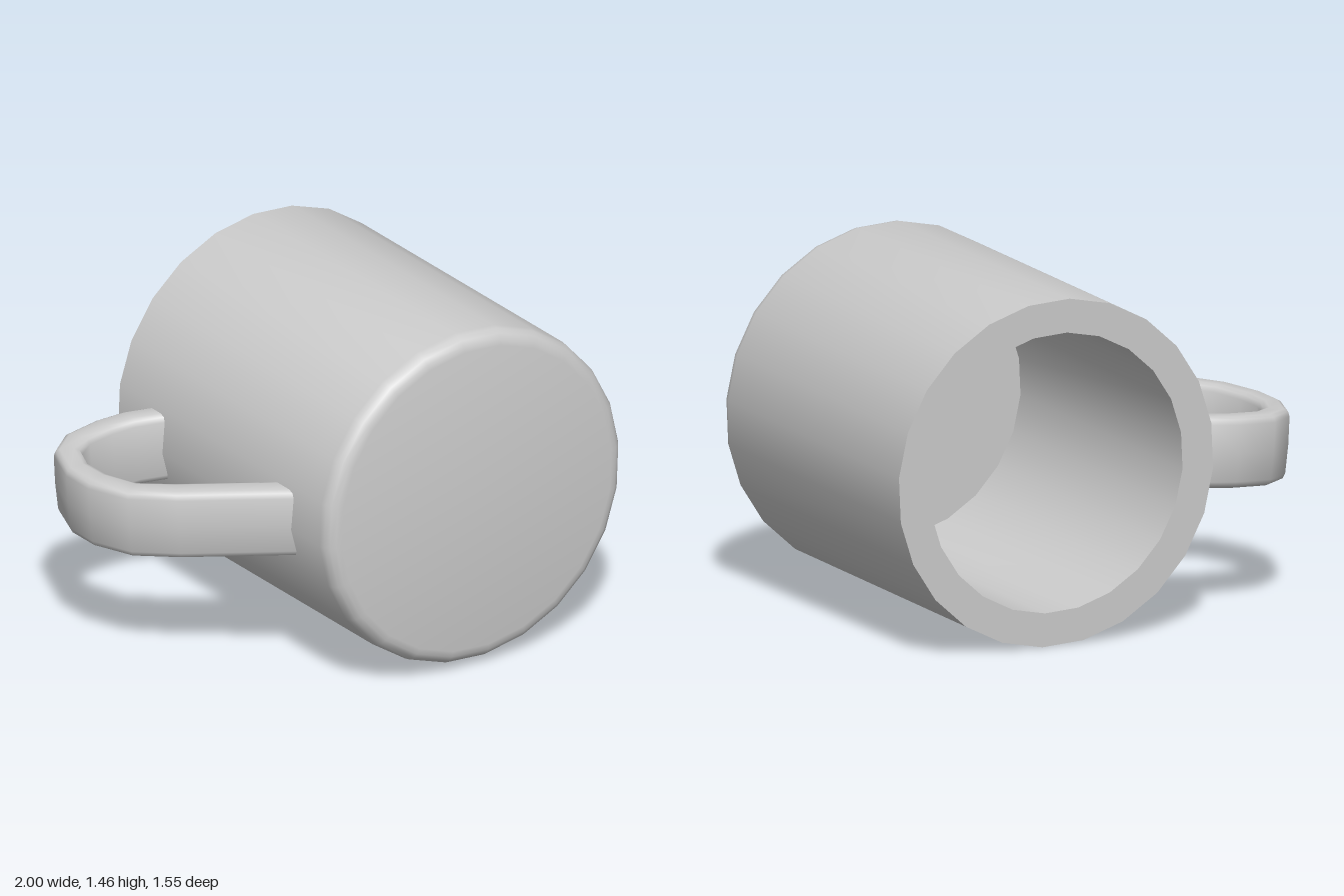
import * as THREE from 'three';
import { toCreasedNormals } from 'three/addons/utils/BufferGeometryUtils.js';

const material = new THREE.MeshStandardMaterial({ color: 0xcccccc });

// Body: one turned profile, rounded foot, flat rim and hollow inside
function createBody() {
  const radius = 0.72, inner = 0.58, base = -0.765, rim = 0.765, bevel = 0.065, floor = base + 0.14;
  const profile = [new THREE.Vector2(0, base)];
  for (let i = 0; i <= 4; i++) {
    const a = (i / 4) * Math.PI / 2;
    profile.push(new THREE.Vector2(radius - bevel + bevel * Math.sin(a), base + bevel - bevel * Math.cos(a)));
  }
  profile.push(
    new THREE.Vector2(radius, rim),
    new THREE.Vector2(inner, rim),
    new THREE.Vector2(inner, floor),
    new THREE.Vector2(0, floor),
  );
  const mesh = new THREE.Mesh(toCreasedNormals(new THREE.LatheGeometry(profile, 24), 0.7), material);
  mesh.name = 'body';
  return mesh;
}

// Handle: a wide strap with rounded edges, lofted between an outer and an inner outline
function createHandle() {
  // outer x, outer y, inner x, inner y
  const stations = [
    [-0.62, 0.53, -0.62, 0.40],
    [-0.71, 0.57, -0.71, 0.44],
    [-0.80, 0.605, -0.81, 0.48],
    [-0.92, 0.615, -0.92, 0.49],
    [-1.09, 0.59, -1.04, 0.475],
    [-1.21, 0.49, -1.115, 0.42],
    [-1.275, 0.30, -1.16, 0.30],
    [-1.275, 0.14, -1.155, 0.17],
    [-1.21, -0.05, -1.11, 0.02],
    [-1.07, -0.20, -1.0, -0.09],
    [-0.71, -0.50, -0.71, -0.33],
    [-0.62, -0.575, -0.62, -0.26 - 0.13],
  ];
  const half = 0.147, offset = 0.018;
  // fraction from inner to outer, fraction of half width
  const lower = [[0, -0.8], [0.07, -0.94], [0.25, -1], [0.75, -1], [0.9, -0.94], [0.97, -0.8]];
  const upper = lower.map(([t, w]) => [t, -w]).reverse();
  const section = [...lower, [1, 0], ...upper];
  const n = section.length, positions = [], index = [];
  stations.forEach(([ox, oy, ix, iy], i) => {
    section.forEach(([t, w], j) => {
      positions.push(ix + (ox - ix) * t, iy + (oy - iy) * t, offset + half * w);
      if (i === stations.length - 1) return;
      const a = i * n + j, b = i * n + (j + 1) % n;
      index.push(a, a + n, b, b, a + n, b + n);
    });
  });
  const geometry = new THREE.BufferGeometry();
  geometry.setAttribute('position', new THREE.Float32BufferAttribute(positions, 3));
  geometry.setIndex(index);
  const mesh = new THREE.Mesh(toCreasedNormals(geometry, Math.PI / 3), material);
  mesh.name = 'handle';
  return mesh;
}

export function createModel() {
  const mug = new THREE.Group();
  mug.name = 'mug';
  mug.add(createBody(), createHandle());
  // Lying on its side, foot to the front, slightly tipped and rolled toward the handle
  mug.rotation.set(-Math.PI / 2 - 0.018, THREE.MathUtils.degToRad(-4.4), 0);
  mug.position.set(0.28, 0.731, 0);
  const model = new THREE.Group();
  model.name = 'lyingMug';
  model.add(mug);
  return model;
}
